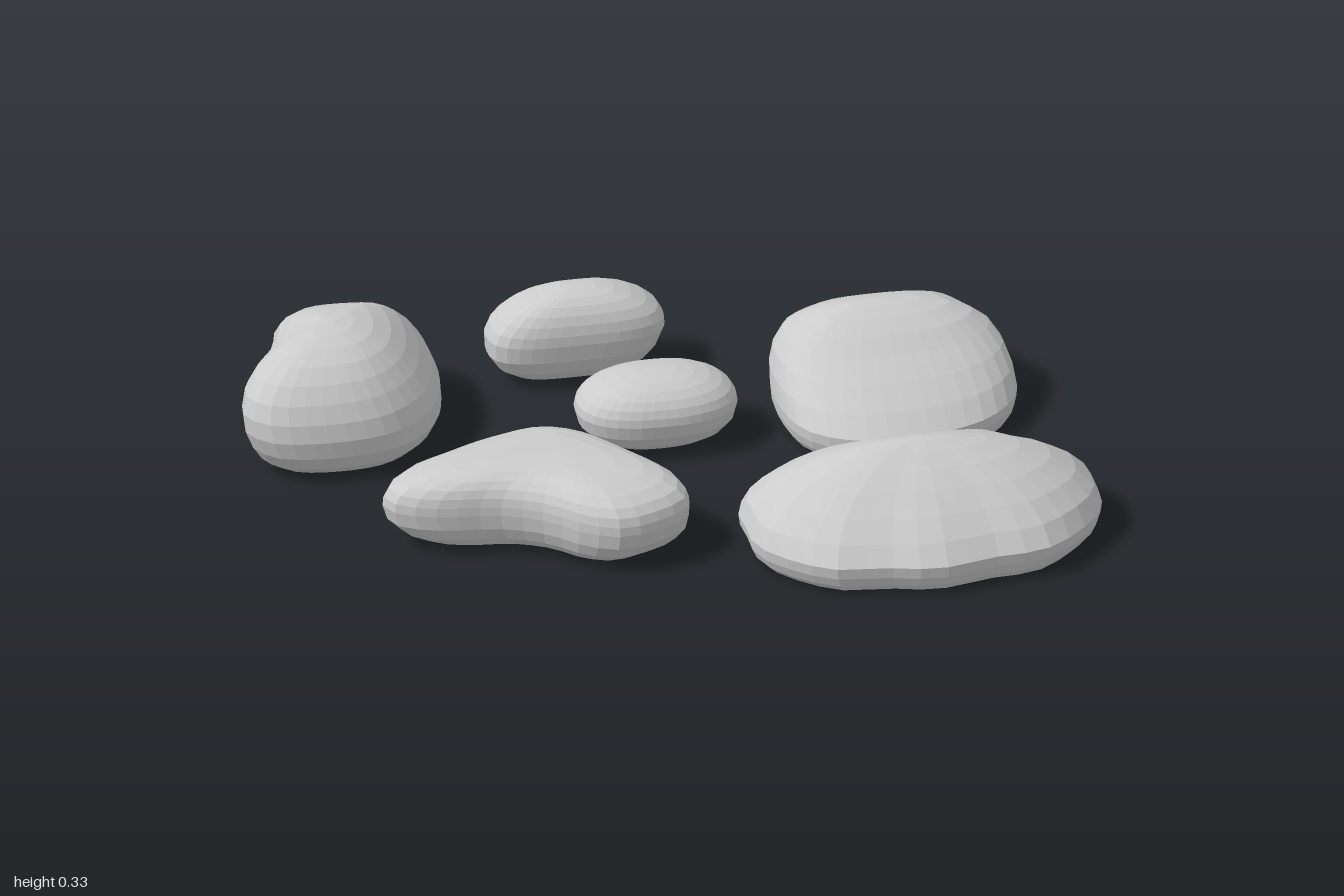
import * as THREE from 'three';

const SEGMENTS = 36;
const LOWER = 4;
const UPPER = 7;
const material = new THREE.MeshStandardMaterial({ color: 0xcccccc, flatShading: true });

// Rounded oval outline, running left, back, right, front
function oval(cx, cz, rx, rz, power) {
  const soft = (v) => Math.sign(v) * Math.pow(Math.abs(v), 2 / power);
  return Array.from({ length: 20 }, (_, i) => {
    const a = (i / 20) * Math.PI * 2;
    return [cx - rx * soft(Math.cos(a)), cz - rz * soft(Math.sin(a))];
  });
}

// Side profile as rings { y, sx, sz }: a flat base, a rounded foot up to the rim,
// then a dome whose fullness across x and z is set by two powers
function makeProfile({ low = 0, rim, top, base, powerX, powerZ = powerX }) {
  const rings = [{ y: low, sx: 0, sz: 0 }];
  for (let i = 0; i < LOWER; i++) {
    const a = (i / LOWER) * Math.PI / 2;
    const s = base + (1 - base) * Math.sin(a);
    rings.push({ y: rim - (rim - low) * Math.cos(a), sx: s, sz: s });
  }
  const dome = (f, p) => Math.pow(1 - Math.pow(f, p), 1 / p);
  for (let i = 0; i < UPPER; i++) {
    const f = Math.sin((i / UPPER) * Math.PI / 2);
    rings.push({ y: rim + (top - rim) * f, sx: dome(f, powerX), sz: dome(f, powerZ) });
  }
  rings.push({ y: top, sx: 0, sz: 0 });
  return rings;
}

// Stone: a plan outline [x, z] stacked along the profile,
// with the upper rings drifting from the centre to the peak
function stone(name, outline, { center, peak = center, ...shape }) {
  const curve = new THREE.CatmullRomCurve3(outline.map(([x, z]) => new THREE.Vector3(x, 0, z)), true);
  const loop = curve.getSpacedPoints(SEGMENTS).slice(0, SEGMENTS);
  const rings = makeProfile(shape);
  const positions = [];
  const index = [];
  for (const { y, sx, sz } of rings) {
    const k = THREE.MathUtils.clamp((y / shape.top - 0.25) / 0.45, 0, 1);
    const cx = THREE.MathUtils.lerp(center[0], peak[0], k);
    const cz = THREE.MathUtils.lerp(center[1], peak[1], k);
    for (const p of loop) {
      positions.push(cx + (p.x - center[0]) * sx, y, cz + (p.z - center[1]) * sz);
    }
  }
  const last = rings.length - 2;
  for (let i = 0; i <= last; i++) {
    for (let j = 0; j < SEGMENTS; j++) {
      const a = i * SEGMENTS + j;
      const b = i * SEGMENTS + (j + 1) % SEGMENTS;
      const c = b + SEGMENTS;
      const d = a + SEGMENTS;
      // The first and last bands close to a point, so they need one triangle each
      if (i > 0) index.push(a, c, b);
      if (i < last) index.push(a, d, c);
    }
  }
  // The top band meets at a point: its first triangle keeps the lower edge a-b
  const indexed = new THREE.BufferGeometry();
  indexed.setAttribute('position', new THREE.Float32BufferAttribute(positions, 3));
  indexed.setIndex(index);
  const geometry = indexed.toNonIndexed();
  geometry.computeVertexNormals();
  const mesh = new THREE.Mesh(geometry, material);
  mesh.name = name;
  return mesh;
}

export function createModel() {
  const group = new THREE.Group();
  group.name = 'stones';

  // Broad domed stone with a wavy rim
  const broadOutline = [[0.11, 0.4], [0.115, 0.29], [0.27, 0.13], [0.4, 0.105], [0.53, 0.07],
    [0.68, 0.095], [0.81, 0.11], [0.89, 0.2], [0.985, 0.29], [1, 0.4], [0.98, 0.5],
    [0.82, 0.66], [0.68, 0.68], [0.53, 0.71], [0.4, 0.68], [0.27, 0.66], [0.12, 0.51]];
  group.add(stone('largeFrontStone', broadOutline, {
    center: [0.555, 0.4], rim: 0.075, top: 0.28, base: 0.88, powerX: 1.75, powerZ: 1.2,
  }));

  // Stone with a steep back and a sloping front
  const slopedOutline = [[0.32, -0.25], [0.34, -0.38], [0.45, -0.49], [0.6, -0.515], [0.75, -0.5],
    [0.83, -0.45], [0.88, -0.33], [0.92, -0.22], [0.89, -0.12], [0.8, -0.03], [0.62, 0.022],
    [0.47, 0.01], [0.36, -0.07]];
  group.add(stone('slopedStone', slopedOutline, {
    center: [0.61, -0.25], peak: [0.61, -0.34], rim: 0.07, top: 0.27, base: 0.9, powerX: 2.4, powerZ: 1.4,
  }));

  // Tall stone with a hollowed side
  const tallOutline = [[-1, -0.25], [-0.98, -0.33], [-0.92, -0.42], [-0.87, -0.52], [-0.84, -0.61],
    [-0.77, -0.66], [-0.6, -0.665], [-0.49, -0.635], [-0.47, -0.54], [-0.48, -0.4], [-0.53, -0.27],
    [-0.64, -0.175], [-0.8, -0.15], [-0.95, -0.18]];
  group.add(stone('tallBackStone', tallOutline, {
    center: [-0.72, -0.38], peak: [-0.76, -0.39], rim: 0.12, top: 0.328, base: 0.6, powerX: 1.95,
  }));

  // Bent, bean-shaped stone
  const beanOutline = [[-0.755, 0.17], [-0.71, 0.1], [-0.6, 0.04], [-0.47, -0.02], [-0.33, -0.05],
    [-0.22, 0], [-0.1, 0.15], [-0.02, 0.28], [-0.025, 0.37], [-0.11, 0.43], [-0.21, 0.455],
    [-0.3, 0.41], [-0.37, 0.34], [-0.48, 0.285], [-0.64, 0.26], [-0.73, 0.22]];
  group.add(stone('beanStone', beanOutline, {
    center: [-0.3, 0.18], low: 0.008, rim: 0.11, top: 0.215, base: 0.65, powerX: 2.9,
  }));

  // Two small pebbles
  group.add(stone('longPebble', oval(-0.12, -0.615, 0.223, 0.1, 3.2), {
    center: [-0.12, -0.615], peak: [-0.1, -0.615],
    low: 0.01, rim: 0.125, top: 0.243, base: 0.4, powerX: 1.9, powerZ: 2.2,
  }));
  group.add(stone('smallPebble', oval(0.017, -0.235, 0.203, 0.132, 2.4), {
    center: [0.017, -0.235], low: 0.008, rim: 0.1, top: 0.195, base: 0.4, powerX: 2.15,
  }));

  return group;
}
